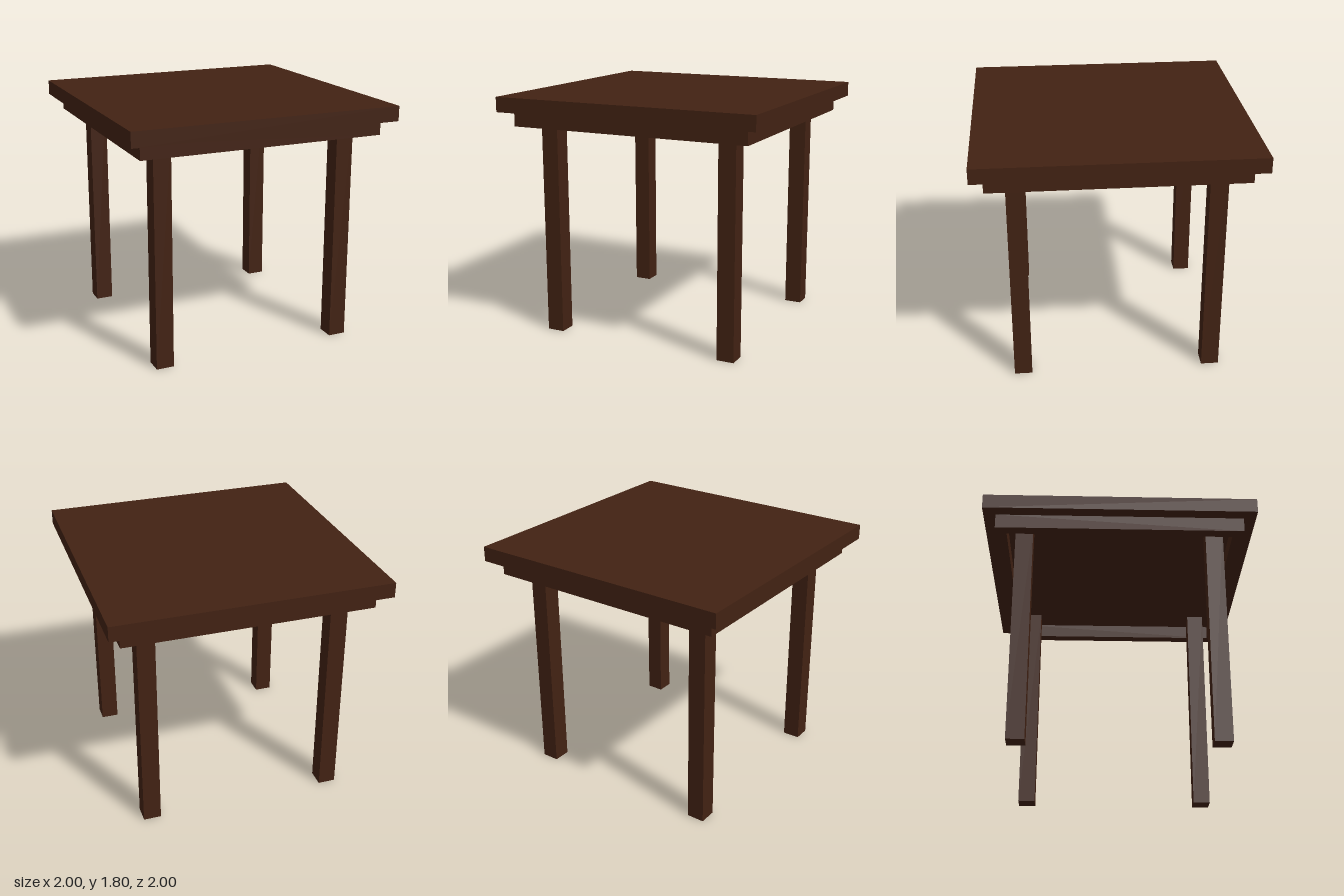
import * as THREE from 'three';

const wood = new THREE.MeshStandardMaterial({ color: 0x422213 });

function square(half, PathType) {
  const p = new PathType();
  p.moveTo(-half, -half);
  p.lineTo(half, -half);
  p.lineTo(half, half);
  p.lineTo(-half, half);
  p.closePath();
  return p;
}

export function createModel() {
  const TOP = 1.8, TOP_UNDER = 1.69, APRON_UNDER = 1.58;
  const table = new THREE.Group();
  table.name = 'table';

  const add = (name, geometry, x, y, z) => {
    const mesh = new THREE.Mesh(geometry, wood);
    mesh.name = name;
    mesh.position.set(x, y, z);
    table.add(mesh);
  };

  // Square slab
  add('tabletop', new THREE.BoxGeometry(2, TOP - TOP_UNDER, 2), 0, (TOP + TOP_UNDER) / 2, 0);

  // Hollow apron frame under the slab
  const frame = square(0.91, THREE.Shape);
  frame.holes.push(square(0.83, THREE.Path));
  const apron = new THREE.ExtrudeGeometry(frame, { depth: TOP_UNDER - APRON_UNDER, bevelEnabled: false });
  apron.rotateX(-Math.PI / 2);
  add('apron', apron, 0, APRON_UNDER, 0);

  // Four square legs, set inside the apron and reaching the slab
  const leg = new THREE.BoxGeometry(0.13, TOP_UNDER, 0.13);
  for (const [depthName, sz] of [['front', 1], ['back', -1]]) {
    for (const [sideName, sx] of [['Left', 1], ['Right', -1]]) {
      add(`${depthName}${sideName}Leg`, leg, sx * 0.705, TOP_UNDER / 2, sz * 0.705);
    }
  }
  return table;
}
